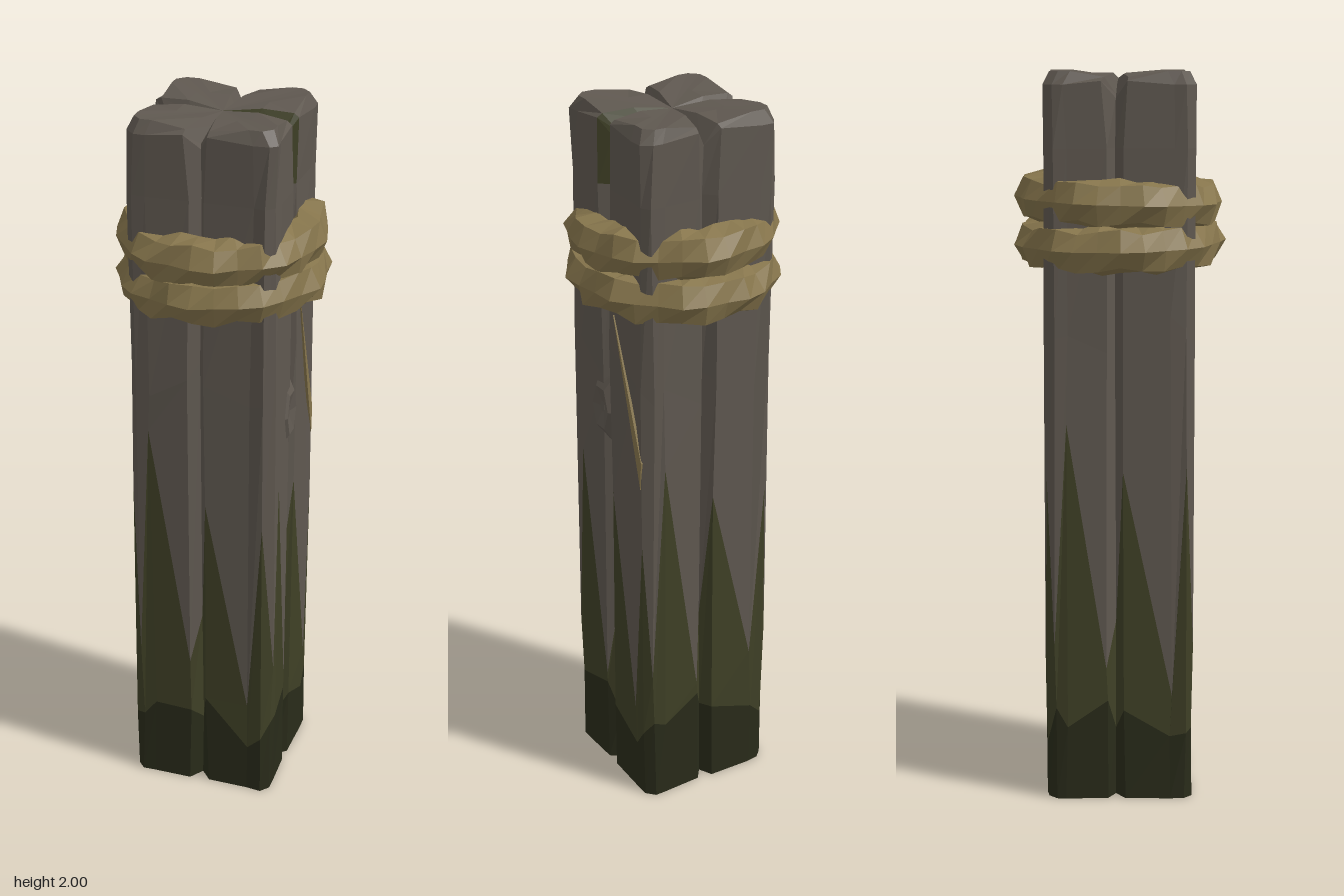
import * as THREE from 'three';

const material = (color) => new THREE.MeshStandardMaterial({ color, flatShading: true, roughness: 1, side: THREE.DoubleSide });
const wood = material(0x5f5850), moss = material(0x3f4026), darkMoss = material(0x292b1a), fibre = material(0x86754c);

// Small repeatable variation in -1..1
const noise = (a, b) => {
  const s = Math.sin(a * 12.99 + b * 78.23) * 43758.55;
  return (s - Math.floor(s)) * 2 - 1;
};

// One face of the post: x along the face, depth of cut, top of the dark moss, top of the moss
const FACE = [
  [-0.18, 0.000, 0.22, 0.38],
  [-0.145, 0.000, 0.25, 1.05],
  [-0.03, 0.002, 0.27, 0.36],
  [-0.01, 0.035, 0.20, 0.50],
  [0.01, 0.002, 0.24, 0.97],
  [0.14, 0.000, 0.18, 0.32],
  [0.18, 0.000, 0.20, 0.90],
];
const COLUMNS = FACE.length * 4;

// Point of the square, grooved outline on a given column
function outline(column, row, y, scale) {
  const side = Math.floor(column / FACE.length), k = column % FACE.length;
  let x = FACE[k][0], z = 0.206 - FACE[k][1];
  if (k === 2 || k === 4) x += (k - 3) * (y > 1.9 ? 0.015 : 0.004);
  if (scale === 1) {
    x += noise(column, row) * 0.006;
    z -= Math.abs(noise(column + 5, row + 3)) * 0.009;
  }
  for (let s = 0; s < side; s++) [x, z] = [z, -x];
  return new THREE.Vector3(x * scale, y, z * scale);
}

function buildPost() {
  const rows = [];
  const addRow = (height, scale = 1) => {
    const row = rows.length;
    rows.push(Array.from({ length: COLUMNS }, (_, c) => outline(c, row, height(c), scale)));
  };
  const inGroove = (c) => c % FACE.length === 3;
  const nearGroove = (c) => Math.abs(c % FACE.length - 3) === 1;

  addRow(() => 0, 0);
  addRow(() => 0);
  addRow((c) => FACE[c % FACE.length][2] + noise(c, 1) * 0.05);
  addRow((c) => FACE[c % FACE.length][3] + noise(c, 2) * 0.08);
  addRow((c) => 1.3 + noise(c, 3) * 0.08);
  addRow(() => 1.8);
  addRow((c) => (inGroove(c) ? 1.93 : nearGroove(c) ? 1.975 : 1.965));
  addRow((c) => (inGroove(c) ? 1.94 : nearGroove(c) ? 1.985 : 2), 0.9);
  addRow((c) => (inGroove(c) ? 1.965 : 1.992), 0.5);
  addRow(() => 1.98, 0);

  // Sort the faces by colour
  const parts = { postWood: [], postMoss: [], postDarkMoss: [] };
  for (let r = 0; r < rows.length - 1; r++) {
    for (let c = 0; c < COLUMNS; c++) {
      const n = (c + 1) % COLUMNS;
      const [a, b, d, e] = [rows[r][c], rows[r][n], rows[r + 1][n], rows[r + 1][c]];
      const mossyNotch = r >= 5 && (c === 9 || c === 10);
      const part = r < 2 ? 'postDarkMoss' : r === 2 || mossyNotch ? 'postMoss' : 'postWood';
      if (r > 0) parts[part].push(a, b, d);
      if (r === 0) parts[part].push(a, b.clone(), d, a, d, e);
      else if (r < rows.length - 2) parts[part].push(a, d, e);
    }
  }
  const post = new THREE.Group();
  post.name = 'post';
  const materials = { postWood: wood, postMoss: moss, postDarkMoss: darkMoss };
  for (const [name, points] of Object.entries(parts)) {
    const geometry = new THREE.BufferGeometry().setFromPoints(points);
    geometry.computeVertexNormals();
    const mesh = new THREE.Mesh(geometry, materials[name]);
    mesh.name = name;
    post.add(mesh);
  }
  return post;
}

// A lumpy, twisted turn of rope
function ropeTurn(name, y, radius, phase) {
  const tube = 0.062, sides = 7, steps = 28;
  const geometry = new THREE.TorusGeometry(radius, tube, sides, steps);
  const position = geometry.attributes.position;
  for (let i = 0; i < position.count; i++) {
    const j = Math.floor(i / (steps + 1)) % sides, k = (i % (steps + 1)) % steps;
    const u = (k / steps) * Math.PI * 2, v = (j / sides) * Math.PI * 2;
    const r = tube * (0.98 + 0.12 * Math.cos(2 * v + 9 * u + phase) + 0.07 * noise(j + phase, k));
    const ring = radius + r * Math.cos(v + 0.15 * noise(k, j));
    const lift = r * 1.08 * Math.sin(v) + 0.008 * Math.sin(u + phase);
    position.setXYZ(i, ring * Math.cos(u), lift, -ring * Math.sin(u));
  }
  geometry.computeVertexNormals();
  const mesh = new THREE.Mesh(geometry, fibre);
  mesh.name = name;
  mesh.position.y = y;
  return mesh;
}

export function createModel() {
  const model = new THREE.Group();
  model.name = 'ropedPost';
  model.add(buildPost());

  // Two turns of rope around the upper part
  model.add(ropeTurn('upperRope', 1.655, 0.222, 0), ropeTurn('lowerRope', 1.54, 0.226, 2));

  // Dented knot in the wood on the left face
  const profile = [[0.066, -0.012], [0.042, 0.008], [0, -0.004]].map(([x, y]) => new THREE.Vector2(x, y));
  const knot = new THREE.Mesh(new THREE.LatheGeometry(profile, 6), wood);
  knot.name = 'knot';
  knot.rotation.z = -Math.PI / 2;
  knot.scale.x = 1.6;
  knot.position.set(0.2, 1.16, 0.035);
  model.add(knot);

  // Pale splinter beside the knot
  const shape = new THREE.Shape([[0.04, 1.46], [0.175, 1.0], [0.18, 1.08]].map(([x, y]) => new THREE.Vector2(x, y)));
  const splinter = new THREE.Mesh(
    new THREE.ExtrudeGeometry(shape, { depth: 0.012, bevelEnabled: false }), fibre);
  splinter.name = 'splinter';
  splinter.rotation.y = Math.PI / 2;
  splinter.position.x = 0.194;
  model.add(splinter);
  return model;
}
